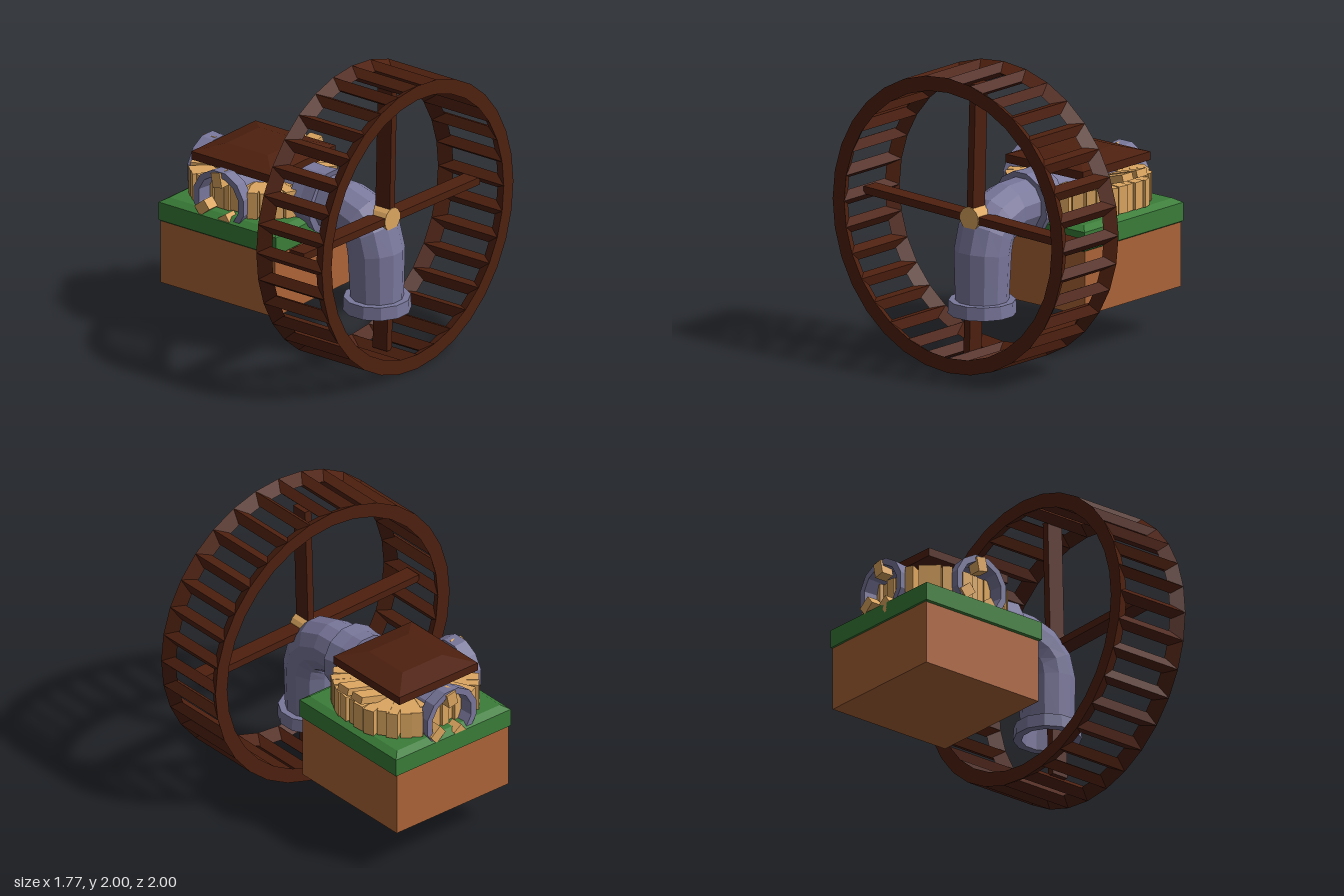
import * as THREE from 'three';

const mat = (color) => new THREE.MeshStandardMaterial({ color, flatShading: true, side: THREE.DoubleSide });
const WOOD = mat(0x4e200f), STEEL = mat(0x7a789c), TAN = mat(0xdca660), GREEN = mat(0x3a7d38), CLAY = mat(0xad6438);
const CX = -0.4; // centre of the base

function add(parent, name, geometry, material, x = 0, y = 0, z = 0) {
  const mesh = new THREE.Mesh(geometry, material);
  mesh.name = name;
  mesh.position.set(x, y, z);
  parent.add(mesh);
  return mesh;
}

// Loft of square sections: [y, half width]
function squareLoft(sections) {
  const pts = sections.map(([y, h]) => new THREE.Vector2(h * Math.SQRT2, y));
  pts.unshift(new THREE.Vector2(0, sections[0][0]));
  pts.push(new THREE.Vector2(0, sections.at(-1)[0]));
  return new THREE.LatheGeometry(pts, 4).rotateY(Math.PI / 4);
}

// Pipe lying in the xy plane: each ring is [x, y, radius, heading angle]
function pipe(rings, sides = 12) {
  const pos = [], index = [];
  rings.forEach(([x, y, r, a], i) => {
    for (let j = 0; j < sides; j++) {
      const t = ((j + 0.5) / sides) * Math.PI * 2, u = Math.cos(t) * r;
      pos.push(x - Math.sin(a) * u, y + Math.cos(a) * u, Math.sin(t) * r);
      if (i === 0) continue;
      const k = (j + 1) % sides, p = (i - 1) * sides, q = i * sides;
      index.push(p + j, q + j, p + k, p + k, q + j, q + k);
    }
  });
  const g = new THREE.BufferGeometry();
  g.setAttribute('position', new THREE.Float32BufferAttribute(pos, 3));
  g.setIndex(index);
  g.computeVertexNormals();
  return g;
}

function makeBase() {
  const base = new THREE.Group();
  base.name = 'base';
  add(base, 'clayBlock', new THREE.BoxGeometry(0.955, 0.44, 0.955), CLAY, CX, 0.525, 0);
  add(base, 'grassSlab', squareLoft([[0.735, 0.47], [0.75, 0.49], [0.875, 0.49], [0.905, 0.44]]), GREEN, CX + 0.005, 0, 0);
  add(base, 'roof', squareLoft([[1.165, 0.335], [1.222, 0.335], [1.272, 0.17]]), WOOD, CX, 0, 0);
  return base;
}

function makeWheel() {
  const wheel = new THREE.Group();
  wheel.name = 'wheel';
  wheel.position.set(0.615, 1, 0);
  // Rims with a triangular section
  for (const s of [-1, 1]) {
    const section = [[1, 0.275], [0.9, 0.275], [0.95, 0.185], [1, 0.275]].map(([r, x]) => new THREE.Vector2(r, x * s));
    add(wheel, 'rim', new THREE.LatheGeometry(section, 32).rotateZ(-Math.PI / 2), WOOD);
  }
  // Diamond-section slats
  const slat = new THREE.CylinderGeometry(0.05, 0.05, 0.54, 4).rotateZ(Math.PI / 2);
  for (let i = 0; i < 32; i++) {
    const a = (i / 32) * Math.PI * 2;
    const m = add(wheel, 'slat', slat, WOOD, 0, Math.cos(a) * 0.95, Math.sin(a) * 0.95);
    m.rotation.x = a;
  }
  // Crossed spokes, turned slightly
  for (let i = 0; i < 2; i++) {
    add(wheel, 'spoke', new THREE.BoxGeometry(0.12, 1.84, 0.052), WOOD).rotation.x = -0.03 + i * Math.PI / 2;
  }
  add(wheel, 'axle', new THREE.CylinderGeometry(0.08, 0.08, 0.16, 16).rotateZ(Math.PI / 2), TAN, -0.015, 0, 0);
  return wheel;
}

function makePipes() {
  const pipes = new THREE.Group();
  pipes.name = 'pipes';
  const down = -Math.PI / 2;
  // Flanged main run, elbow and open outlet
  add(pipes, 'mainPipe', pipe([
    [-0.02, 1, 0.165, 0], [-0.02, 1, 0.215, 0], [0.07, 1, 0.21, 0], [0.165, 0.99, 0.226, -0.05],
    [0.165, 0.995, 0.18, 0], [0.32, 0.99, 0.18, -0.1], [0.44, 0.945, 0.185, -0.5],
    [0.515, 0.865, 0.19, -1.05], [0.545, 0.75, 0.19, -1.45], [0.55, 0.43, 0.177, down],
    [0.55, 0.43, 0.222, down], [0.55, 0.34, 0.226, down], [0.55, 0.34, 0.17, down], [0.55, 0.6, 0.16, down],
  ]), STEEL);
  add(pipes, 'innerPipe', pipe([[-0.78, 1, 0.165, 0], [0, 1, 0.165, 0]]), STEEL);
  // Open flanged mouths with three wooden blocks each, on the front and right sides
  for (const turn of [-Math.PI / 2, Math.PI]) {
    const mouth = new THREE.Group();
    mouth.name = 'mouth';
    mouth.position.set(CX, 1, 0);
    mouth.rotation.y = turn;
    add(mouth, 'flange', pipe([
      [0.1, 0, 0.165, 0], [0.375, 0, 0.165, 0], [0.375, 0, 0.205, 0], [0.47, 0, 0.215, 0],
      [0.47, 0, 0.17, 0], [0.37, 0, 0.16, 0],
    ]), STEEL);
    for (const a of [0.05, 2.1, 3.6]) {
      add(mouth, 'block', new THREE.BoxGeometry(0.09, 0.1, 0.075), TAN, 0.44, Math.cos(a) * 0.148, Math.sin(a) * 0.148).rotation.x = a + 0.15;
    }
    pipes.add(mouth);
  }
  return pipes;
}

function makePlanks() {
  const planks = new THREE.Group();
  planks.name = 'planks';
  let seed = 7;
  const rand = () => (seed = (seed * 16807) % 2147483647) / 2147483647;
  const count = 36;
  for (let i = 0; i < count; i++) {
    const a = (i / count) * Math.PI * 2; // 0 is the back
    // Shorter planks where the pipes leave
    const atPipe = [1, 2, 3].some((k) => Math.abs(a - k * Math.PI / 2) < 0.44);
    const outer = (atPipe ? 0.37 : 0.455) + rand() * 0.035;
    const length = 0.16 + rand() * 0.06, width = 0.06 + rand() * 0.025;
    const r = outer - length / 2;
    const m = add(planks, 'plank', new THREE.BoxGeometry(width, 0.185, length), TAN, CX + Math.sin(a) * r, 1 + rand() * 0.01, -Math.cos(a) * r);
    m.rotation.y = -a + (rand() - 0.5) * 0.3;
  }
  // Loose planks rising at the back
  for (const x of [-0.34, -0.48]) {
    add(planks, 'raisedPlank', new THREE.BoxGeometry(0.1, 0.05, 0.28), TAN, x, 1.12, -0.35).rotation.x = 0.28;
  }
  return planks;
}

export function createModel() {
  const model = new THREE.Group();
  model.name = 'waterWheelPump';
  model.add(makeBase(), makeWheel(), makePipes(), makePlanks());
  return model;
}
